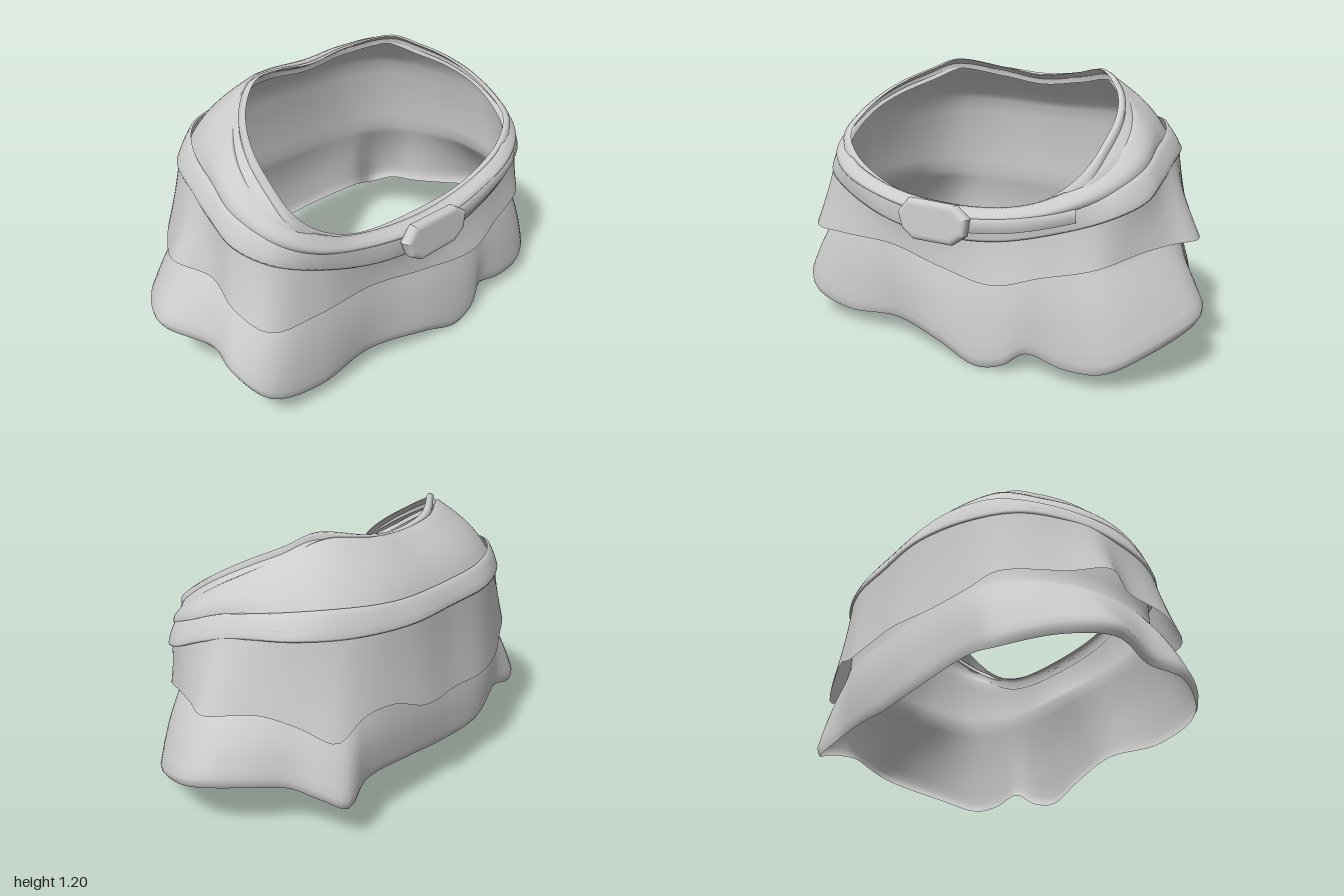
import * as THREE from 'three';

const TAU = Math.PI * 2, CZ = 0.05, SEG = 180;
const material = new THREE.MeshStandardMaterial({ color: 0xcccccc, side: THREE.DoubleSide });

// Closed ring through a few points, looked up by angle (0 = front, growing toward +x)
function ring(points) {
  const curve = new THREE.CatmullRomCurve3(points.map(p => new THREE.Vector3(...p)), true, 'centripetal');
  const samples = curve.getPoints(800).slice(0, 800)
    .map(p => ({ p, a: (Math.atan2(p.x, p.z - CZ) + TAU) % TAU }))
    .sort((m, n) => m.a - n.a);
  const first = samples[0], last = samples[samples.length - 1];
  samples.unshift({ p: last.p, a: last.a - TAU });
  samples.push({ p: first.p, a: first.a + TAU });
  return angle => {
    const a = ((angle % TAU) + TAU) % TAU;
    let i = 1;
    while (i < samples.length - 1 && samples[i].a < a) i++;
    const m = samples[i - 1], n = samples[i];
    return m.p.clone().lerp(n.p, (a - m.a) / Math.max(n.a - m.a, 1e-6));
  };
}

// Left half from front centre to back centre, mirrored to a full ring
const mirrored = half => ring([...half, ...half.slice(1, -1).reverse().map(([x, y, z]) => [-x, y, z])]);

// Move a ring outward by d and up by dy
const offset = (r, d, dy = 0) => a => r(a).add(new THREE.Vector3(Math.sin(a) * d, dy, Math.cos(a) * d));

// Ring between two rings, bulged outward
const between = (r, s, t, bulge = 0) => offset(a => r(a).lerp(s(a), t), bulge * Math.sin(Math.PI * t));

const steps = (r, s, n, bulge) => Array.from({ length: n + 1 }, (_, i) => between(r, s, i / n, bulge));

// Skin a stack of rings, listed from bottom to top
function loft(name, rings, from = 0, to = TAU) {
  const closed = to - from > TAU - 1e-6, cols = closed ? SEG : SEG + 1;
  const pos = [], index = [];
  for (const r of rings)
    for (let i = 0; i < cols; i++) pos.push(...r(from + (to - from) * i / SEG).toArray());
  for (let j = 0; j < rings.length - 1; j++)
    for (let i = 0; i < SEG; i++) {
      const k = (i + 1) % cols, a = j * cols + i, b = j * cols + k;
      index.push(a, b, b + cols, a, b + cols, a + cols);
    }
  const g = new THREE.BufferGeometry();
  g.setAttribute('position', new THREE.Float32BufferAttribute(pos, 3));
  g.setIndex(index);
  g.computeVertexNormals();
  const mesh = new THREE.Mesh(g, material);
  mesh.name = name;
  return mesh;
}

export function createModel() {
  const group = new THREE.Group();
  group.name = 'tieredSkirt';

  const lowerHem = ring([
    [0, .06, .53], [.2, .003, .54], [.33, .03, .52], [.42, .09, .48], [.6, .07, .48], [.77, .08, .45],
    [.9, .15, .32], [.985, .22, .1], [.97, .24, 0], [.87, .24, -.13], [.76, .24, -.27], [.72, .22, -.41],
    [.65, .18, -.5], [.5, .23, -.47], [.2, .22, -.49], [0, .2, -.5], [-.3, .2, -.51], [-.57, .25, -.45],
    [-.74, .22, -.44], [-.91, .25, -.27], [-.99, .26, -.08], [-.9, .24, .17], [-.92, .21, .33],
    [-.84, .12, .46], [-.6, .07, .49], [-.3, .09, .475]]);
  const lowerWaist = mirrored([
    [0, .48, .465], [.4, .48, .46], [.7, .52, .39], [.79, .56, .16], [.76, .58, -.12],
    [.67, .58, -.32], [.48, .57, -.45], [0, .57, -.485]]);
  const upperHem = ring([
    [0, .4, .52], [.3, .38, .54], [.5, .44, .5], [.72, .5, .44], [.84, .55, .25], [.9, .56, .12],
    [.95, .56, 0], [.83, .57, -.18], [.75, .53, -.33], [.67, .47, -.46], [.55, .55, -.5], [.4, .56, -.535],
    [.22, .5, -.575], [0, .5, -.575], [-.2, .49, -.58], [-.42, .49, -.53], [-.58, .53, -.46],
    [-.7, .57, -.4], [-.87, .56, -.18], [-.93, .59, -.02], [-.86, .56, .13], [-.88, .5, .3],
    [-.82, .44, .45], [-.6, .44, .49], [-.3, .44, .49]]);
  const beltLow = mirrored([
    [0, .54, .53], [.3, .56, .51], [.6, .64, .46], [.76, .7, .39], [.835, .75, .25], [.83, .81, .1],
    [.8, .85, -.05], [.72, .87, -.28], [.56, .87, -.43], [.3, .87, -.53], [0, .87, -.54]]);
  const beltHigh = mirrored([
    [0, .65, .535], [.3, .67, .51], [.6, .74, .465], [.74, .8, .37], [.8, .87, .2], [.78, .92, .06],
    [.71, .96, -.18], [.6, .98, -.35], [.44, .975, -.45], [.28, .965, -.49], [0, .96, -.5]]);
  const outerRim = mirrored([
    [0, .67, .49], [.35, .7, .47], [.55, .77, .455], [.66, .84, .4], [.71, .91, .29], [.71, .99, .16],
    [.66, 1.055, .04], [.55, 1.12, -.08], [.41, 1.185, -.19], [.22, 1.165, -.28], [0, 1.15, -.29]]);
  const innerRim = mirrored([
    [0, .66, .43], [.35, .69, .425], [.56, .8, .42], [.64, .89, .38], [.65, .97, .28], [.63, 1.05, .15],
    [.58, 1.11, .04], [.5, 1.16, -.06], [.4, 1.205, -.13], [.2, 1.17, -.23], [0, 1.145, -.235]]);

  // Lower tier: curled hem, flared skirt, then a smooth lining up to a thick lip
  const flare = offset(lowerHem, .015, .045), lining = offset(beltHigh, -.04);
  group.add(loft('lowerTier', [lowerHem, offset(lowerHem, .011, .018), ...steps(flare, lowerWaist, 8, .015),
    ...steps(lowerWaist, lining, 6, .01).slice(1), ...steps(lining, innerRim, 6, .03).slice(1)]));
  group.add(loft('liningLip', [offset(innerRim, .035, -.045), offset(innerRim, .035, -.008),
    offset(innerRim, .018, .002), innerRim]));

  // Upper tier, tucked under the belt
  group.add(loft('upperTier', steps(upperHem, offset(beltLow, -.012, .04), 8, -.005)));

  // Waistband, with a thin turned edge just outside the lip
  group.add(loft('waistband', [...steps(offset(beltHigh, -.008, -.03), outerRim, 10, .03),
    offset(outerRim, -.015, .003), offset(outerRim, -.025, -.02)]));

  // Flat belt with a thin lower edge
  group.add(loft('belt', [offset(beltLow, -.025, .008), beltLow,
    ...steps(offset(beltLow, .003, .01), beltHigh, 4, .004), offset(beltHigh, -.012, 0)]));

  // Loose strap end lying on the belt
  const strapLow = between(beltLow, beltHigh, .3), strapHigh = between(beltLow, beltHigh, .9);
  group.add(loft('strapEnd', [offset(strapLow, -.01), offset(strapLow, .018, .005),
    offset(strapHigh, .018, -.005), offset(strapHigh, -.01)], .25, 1.0));

  // Eight-sided buckle with a softened edge, leaning back with the belt
  const outline = [[-.16, .015], [-.12, .06], [.11, .06], [.16, .025], [.15, -.025], [.1, -.06], [-.09, -.065], [-.14, -.035]];
  const plate = new THREE.ExtrudeGeometry(new THREE.Shape(outline.map(([x, y]) => new THREE.Vector2(x, y))),
    { depth: .015, bevelEnabled: true, bevelSize: .025, bevelThickness: .02, bevelSegments: 4 });
  const buckle = new THREE.Mesh(plate, material);
  buckle.name = 'buckle';
  buckle.position.set(0, .607, .545);
  buckle.rotation.x = -.08;
  group.add(buckle);

  return group;
}
